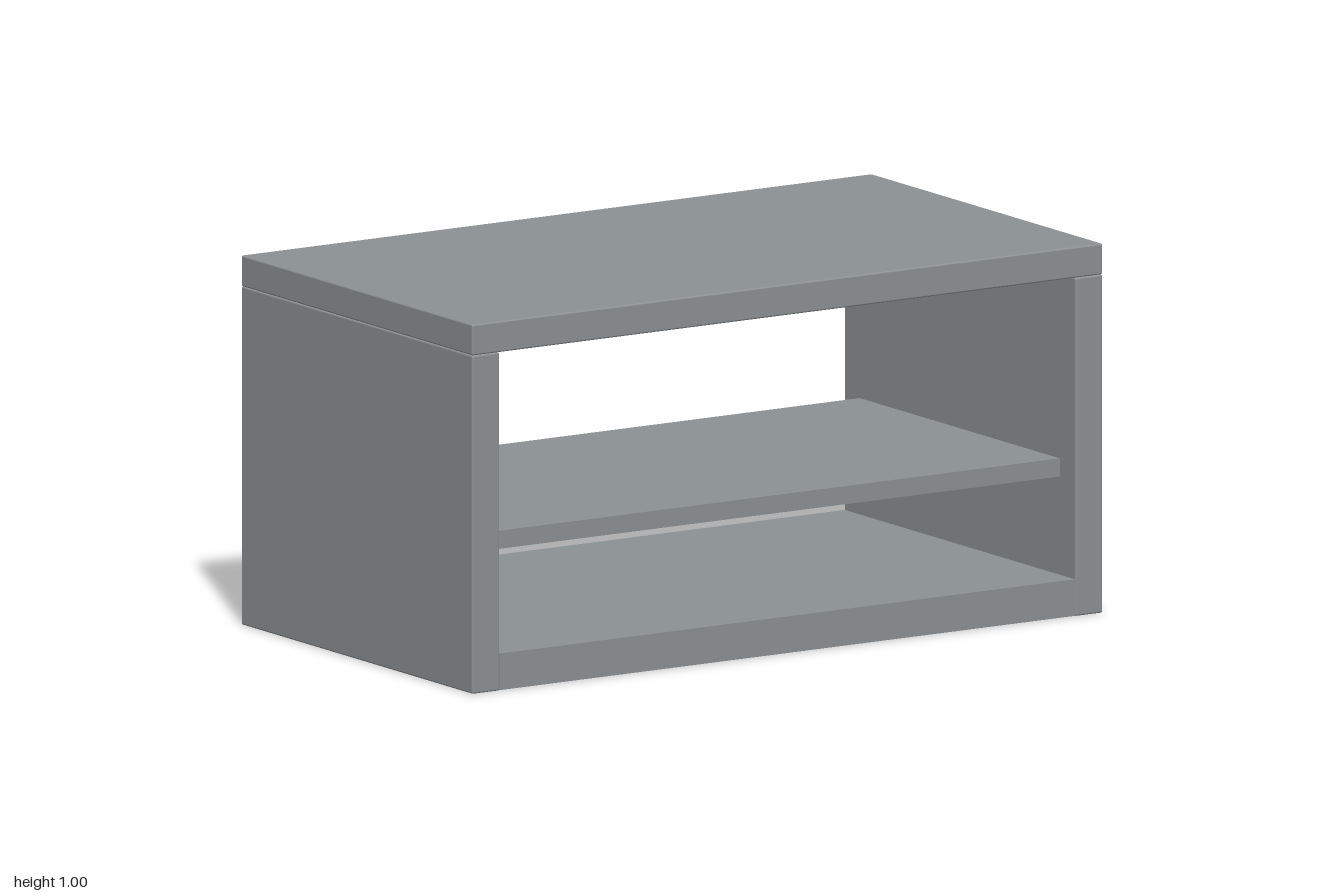
import * as THREE from 'three';
import { RoundedBoxGeometry } from 'three/addons/geometries/RoundedBoxGeometry.js';

export function createModel() {
  const group = new THREE.Group();
  const grey = new THREE.MeshStandardMaterial({ color: 0x8b9093 });
  grey.name = 'grey';

  // Adds a board spanning the given heights; bevel > 0 softens its edges
  const board = (name, width, y0, y1, depth, x = 0, bevel = 0) => {
    const h = y1 - y0;
    const geometry = bevel
      ? new RoundedBoxGeometry(width, h, depth, 2, bevel)
      : new THREE.BoxGeometry(width, h, depth);
    const mesh = new THREE.Mesh(geometry, grey);
    mesh.name = name;
    mesh.position.set(x, (y0 + y1) / 2, 0);
    group.add(mesh);
  };

  const depth = 1.12, side = 0.087, inner = 2 - 2 * side;

  // Outer case
  board('top', 2, 0.916, 1, depth, 0, 0.005);
  board('leftSide', side, 0, 0.916, depth, 1 - side / 2, 0.005);
  board('rightSide', side, 0, 0.916, depth, -1 + side / 2, 0.005);

  // Base board and the shallower shelf, open at front and back
  board('base', inner, 0.001, 0.1, depth - 0.004);
  board('shelf', inner, 0.366, 0.415, 0.97);

  return group;
}
